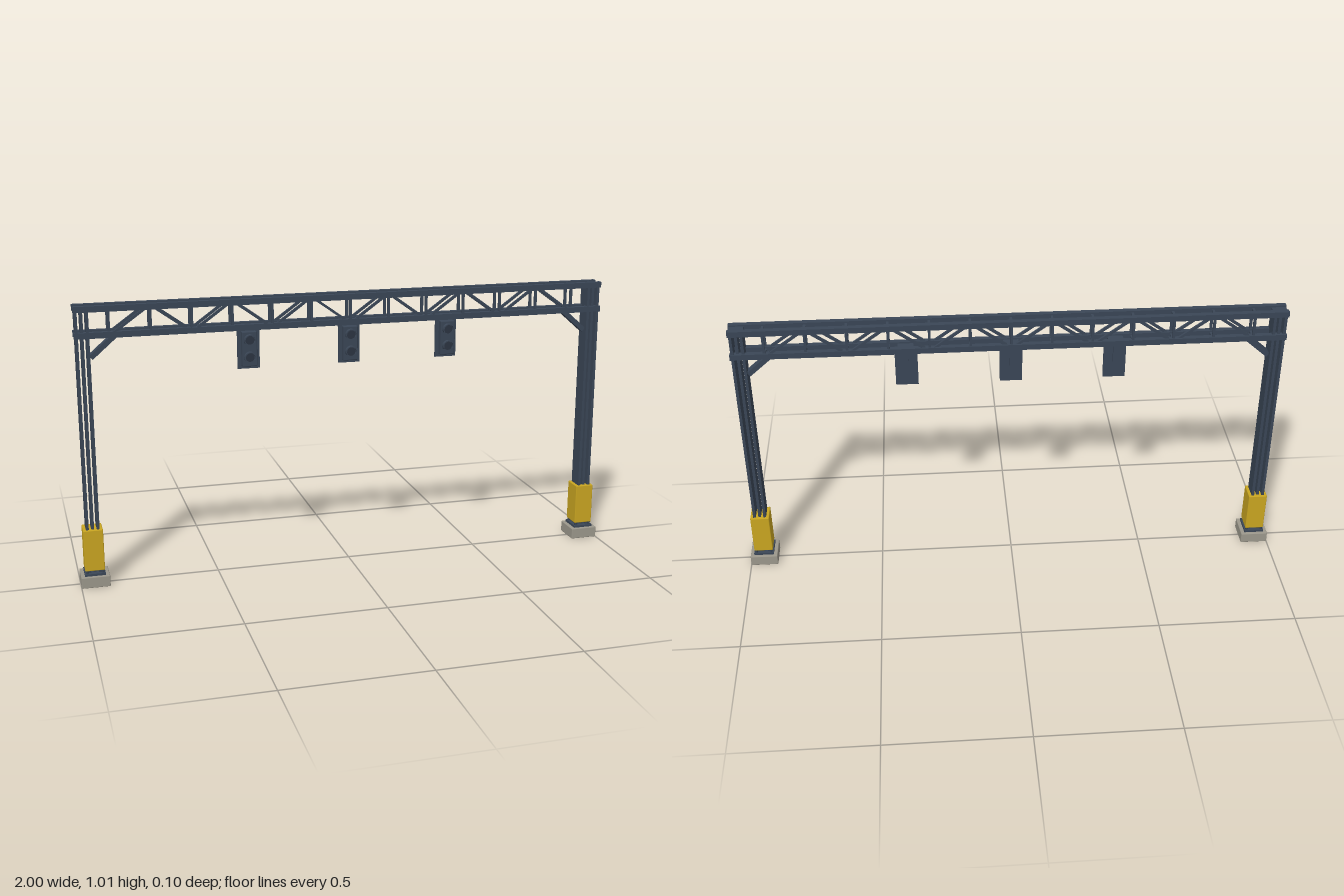
import * as THREE from 'three';
import { RoundedBoxGeometry } from 'three/addons/geometries/RoundedBoxGeometry.js';

const mat = (name, color) => {
  const m = new THREE.MeshStandardMaterial({ color });
  m.name = name;
  return m;
};

export function createModel() {
  const steel = mat('slate steel', 0x3a4656);
  const dark = mat('dark lens', 0x2b3441);
  const yellow = mat('safety yellow', 0xcaa621);
  const concrete = mat('concrete', 0x9c988c);
  const root = new THREE.Group();
  root.name = 'signalGantry';

  const group = (name, parent = root) => {
    const g = new THREE.Group();
    g.name = name;
    parent.add(g);
    return g;
  };
  const add = (parent, name, geo, m, x, y, z) => {
    const mesh = new THREE.Mesh(geo, m);
    mesh.name = name;
    mesh.position.set(x, y, z);
    parent.add(mesh);
    return mesh;
  };
  const box = (parent, name, w, h, d, x, y, z, m = steel) =>
    add(parent, name, new THREE.BoxGeometry(w, h, d), m, x, y, z);
  // bar between two points in a plane of constant z
  const bar = (parent, name, x1, y1, x2, y2, z, t, d) => {
    const b = box(parent, name, Math.hypot(x2 - x1, y2 - y1), t, d, (x1 + x2) / 2, (y1 + y2) / 2, z);
    b.rotation.z = Math.atan2(y2 - y1, x2 - x1);
    return b;
  };

  // columns with footings, sleeves and knee braces
  for (const s of [-1, 1]) {
    const col = group(s < 0 ? 'rightColumn' : 'leftColumn');
    const cx = s * 0.949;
    add(col, 'footing', new RoundedBoxGeometry(0.102, 0.041, 0.102, 1, 0.003), concrete, cx, 0.0205, 0);
    box(col, 'basePlate', 0.074, 0.008, 0.08, cx, 0.045, 0);
    for (const bx of [-0.028, 0.028]) for (const bz of [-0.031, 0.031])
      add(col, 'anchorBolt', new THREE.CylinderGeometry(0.005, 0.005, 0.01, 6), steel, cx + bx, 0.053, bz);
    add(col, 'guardSleeve', new RoundedBoxGeometry(0.07, 0.153, 0.075, 1, 0.003), yellow, cx, 0.1355, 0);
    for (const f of [-1, 0, 1])
      box(col, f ? 'flange' : 'web', 0.01, 0.95, f ? 0.058 : 0.05, cx + f * 0.019, 0.525, 0);
    box(col, 'capPlate', 0.052, 0.008, 0.058, cx, 1.003, 0);
    bar(col, 'kneeBrace', s * 0.922, 0.83, s * 0.838, 0.903, 0, 0.018, 0.03);
  }

  // truss: four chords, two braced faces and cross struts
  const truss = group('truss');
  const topY = 1.002, lowY = 0.911, panel = 0.143, cz = 0.0245;
  for (const z of [-cz, cz]) {
    for (const y of [topY, lowY])
      box(truss, 'chord', 1.954, 0.021, 0.019, 0, y, z);
    for (let i = -6; i <= 6; i++)
      box(truss, 'vertical', 0.009, topY - lowY, 0.009, i * panel, (topY + lowY) / 2, z);
    for (let i = -6; i < 6; i++) {
      const up = i % 2 === 0;
      bar(truss, 'diagonal', i * panel + 0.008, up ? lowY : topY,
        (i + 1) * panel - 0.008, up ? topY : lowY, z, 0.009, 0.009);
    }
  }
  for (let i = -6; i <= 6; i++)
    for (const y of [topY, lowY])
      box(truss, 'crossStrut', 0.009, 0.009, 2 * cz, i * panel, y, 0);

  // three hanging signal heads
  for (const x of [-0.37, 0, 0.37]) {
    const sig = group('signalHead');
    sig.position.x = x;
    box(sig, 'mountClamp', 0.055, 0.012, 0.05, 0, 0.91, 0);
    box(sig, 'hanger', 0.014, 0.09, 0.01, 0, 0.87, -0.006);
    box(sig, 'backPlate', 0.08, 0.145, 0.007, 0, 0.83, 0.002);
    add(sig, 'housing', new RoundedBoxGeometry(0.054, 0.125, 0.026, 1, 0.003), steel, 0, 0.832, 0.017);
    for (const y of [0.865, 0.803]) {
      const lens = add(sig, 'lens', new THREE.CylinderGeometry(0.016, 0.016, 0.006, 20), dark, 0, y, 0.031);
      lens.rotation.x = Math.PI / 2;
      // hood: ring sector open at the bottom
      const hood = new THREE.Shape();
      hood.absarc(0, 0, 0.021, -0.5, Math.PI + 0.5, false);
      hood.absarc(0, 0, 0.0175, Math.PI + 0.5, -0.5, true);
      add(sig, 'visor', new THREE.ExtrudeGeometry(hood, { depth: 0.016, bevelEnabled: false, curveSegments: 16 }),
        steel, 0, y, 0.028);
    }
  }
  return root;
}
